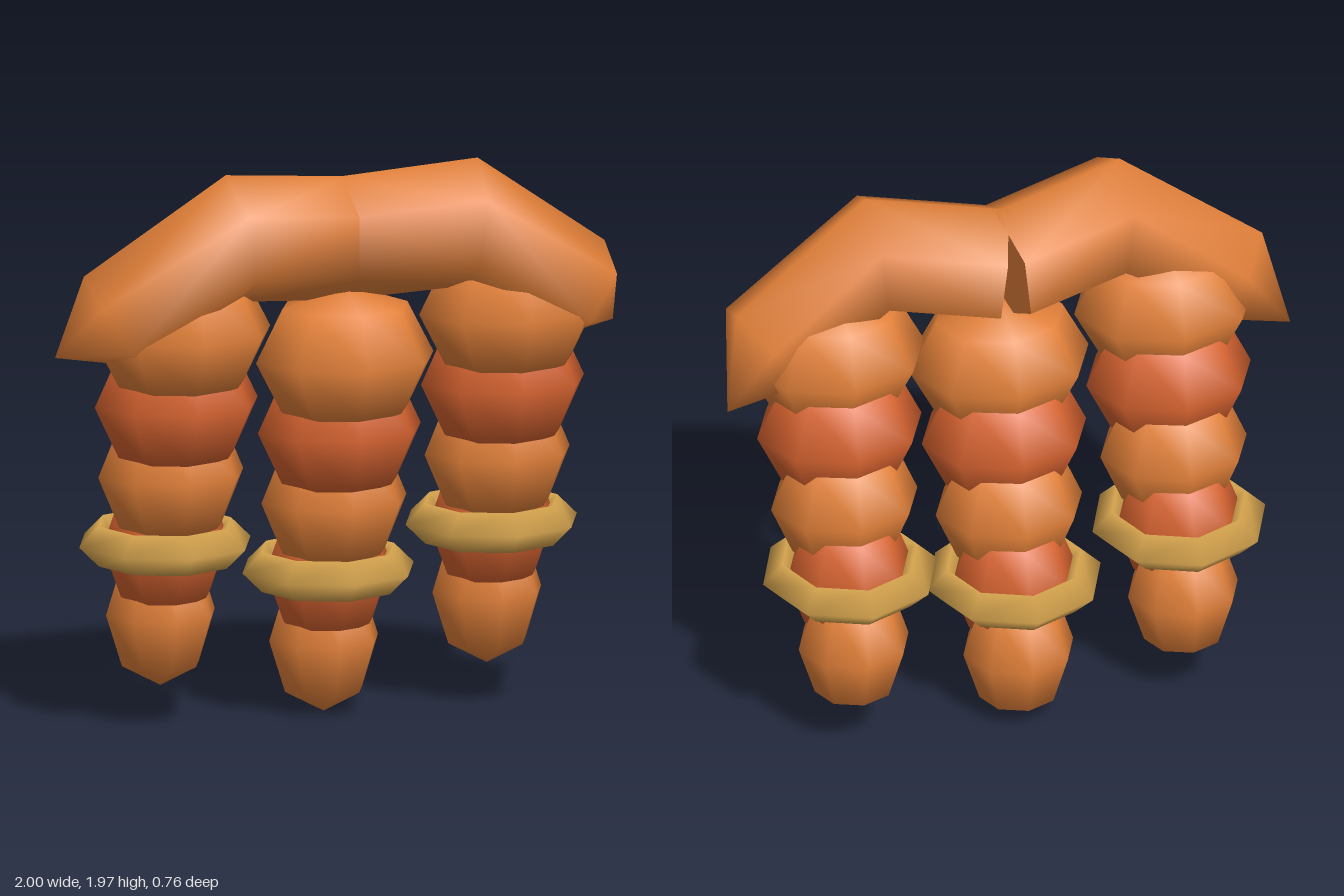
import * as THREE from 'three';

const mat = (name, hex) => {
  const m = new THREE.MeshStandardMaterial({ color: hex });
  m.name = name;
  return m;
};

// One hexagonal cross-section, standing across the direction 'dir'
function hexRing(center, dir, radius) {
  const c = new THREE.Vector3(...center);
  const n = new THREE.Vector3(...dir).normalize();
  const up = new THREE.Vector3(0, 1, 0).addScaledVector(n, -n.y).normalize();
  const front = new THREE.Vector3().crossVectors(up, n).negate();
  return Array.from({ length: 6 }, (_, i) => {
    const a = (i * Math.PI) / 3;
    return c.clone().addScaledVector(up, Math.cos(a) * radius).addScaledVector(front, Math.sin(a) * radius);
  });
}

// Bent tapering knuckle: three hexagons, a pointed outer tip and a flat inner end
function knuckleGeometry(side) {
  const rings = [
    hexRing([0, 1.70, 0.08], [0.96, 0.11, 0.22], 0.215),
    hexRing([0.425, 1.75, 0.185], [1, -0.12, 0.06], 0.225),
    hexRing([0.83, 1.475, 0.13], [0.8, -0.55, -0.2], 0.192),
  ];
  const points = rings.flat();
  points.push(new THREE.Vector3(1.0, 1.33, -0.01)); // tip, 18
  points.push(...rings[0]); // inner end, 19..24
  const index = [];
  const tri = (a, b, c) => (side > 0 ? index.push(a, b, c) : index.push(a, c, b));
  for (let i = 0; i < 6; i++) {
    const j = (i + 1) % 6;
    for (let r = 0; r < 2; r++) {
      const a = r * 6 + i, b = r * 6 + j;
      tri(a, b, b + 6);
      tri(a, b + 6, a + 6);
    }
    tri(12 + i, 12 + j, 18);
  }
  for (let i = 1; i < 5; i++) tri(19, 19 + i + 1, 19 + i);

  // Make the faces point outward whichever way the rings run
  const [p, q, s] = [index[0], index[1], index[2]].map((k) => points[k]);
  const faceN = q.clone().sub(p).cross(s.clone().sub(p));
  const out = p.clone().add(q).add(s).divideScalar(3).sub(new THREE.Vector3(0.2, 1.72, 0.13));
  if (faceN.dot(out) * side < 0) {
    for (let k = 0; k < index.length; k += 3) [index[k + 1], index[k + 2]] = [index[k + 2], index[k + 1]];
  }

  const g = new THREE.BufferGeometry();
  g.setAttribute('position', new THREE.Float32BufferAttribute(points.flatMap((v) => [v.x * side, v.y, v.z]), 3));
  g.setIndex(index);
  g.computeVertexNormals();
  return g;
}

export function createModel() {
  const orange = mat('orange', 0xe28039);
  const red = mat('rust red', 0xd5622f);
  const gold = mat('gold', 0xd6a44e);
  const root = new THREE.Group();
  root.name = 'segmentedHand';

  const add = (parent, name, geometry, material, x = 0, y = 0, z = 0) => {
    const m = new THREE.Mesh(geometry, material);
    m.name = name;
    m.position.set(x, y, z);
    parent.add(m);
    return m;
  };

  // Beads from top to bottom: y, z, half width, half depth
  const beads = [
    [1.29, 0.11, 0.318, 0.27],
    [1.03, 0.05, 0.292, 0.25],
    [0.77, -0.01, 0.26, 0.225],
    [0.515, -0.07, 0.225, 0.205],
    [0.26, -0.125, 0.195, 0.185],
  ];
  const beadGeometry = new THREE.SphereGeometry(1, 8, 4);
  const ringGeometry = new THREE.TorusGeometry(0.237, 0.07, 4, 8).rotateX(Math.PI / 2);

  // Three hanging fingers, the middle one lower
  const fingers = [['rightFinger', -0.585, 0.13], ['middleFinger', 0, 0], ['leftFinger', 0.585, 0.13]];
  for (const [name, x, lift] of fingers) {
    const finger = new THREE.Group();
    finger.name = name;
    finger.position.set(x, lift, 0);
    root.add(finger);
    beads.forEach(([y, z, w, d], i) => {
      add(finger, 'fingerSegment' + (i + 1), beadGeometry, i % 2 ? red : orange, 0, y, z).scale.set(w, 0.256, d);
    });
    add(finger, 'fingerRing', ringGeometry, gold, 0, 0.515, -0.075);
  }

  // Mirrored knuckle pieces across the top
  add(root, 'leftKnuckle', knuckleGeometry(1), orange);
  add(root, 'rightKnuckle', knuckleGeometry(-1), orange);
  return root;
}
